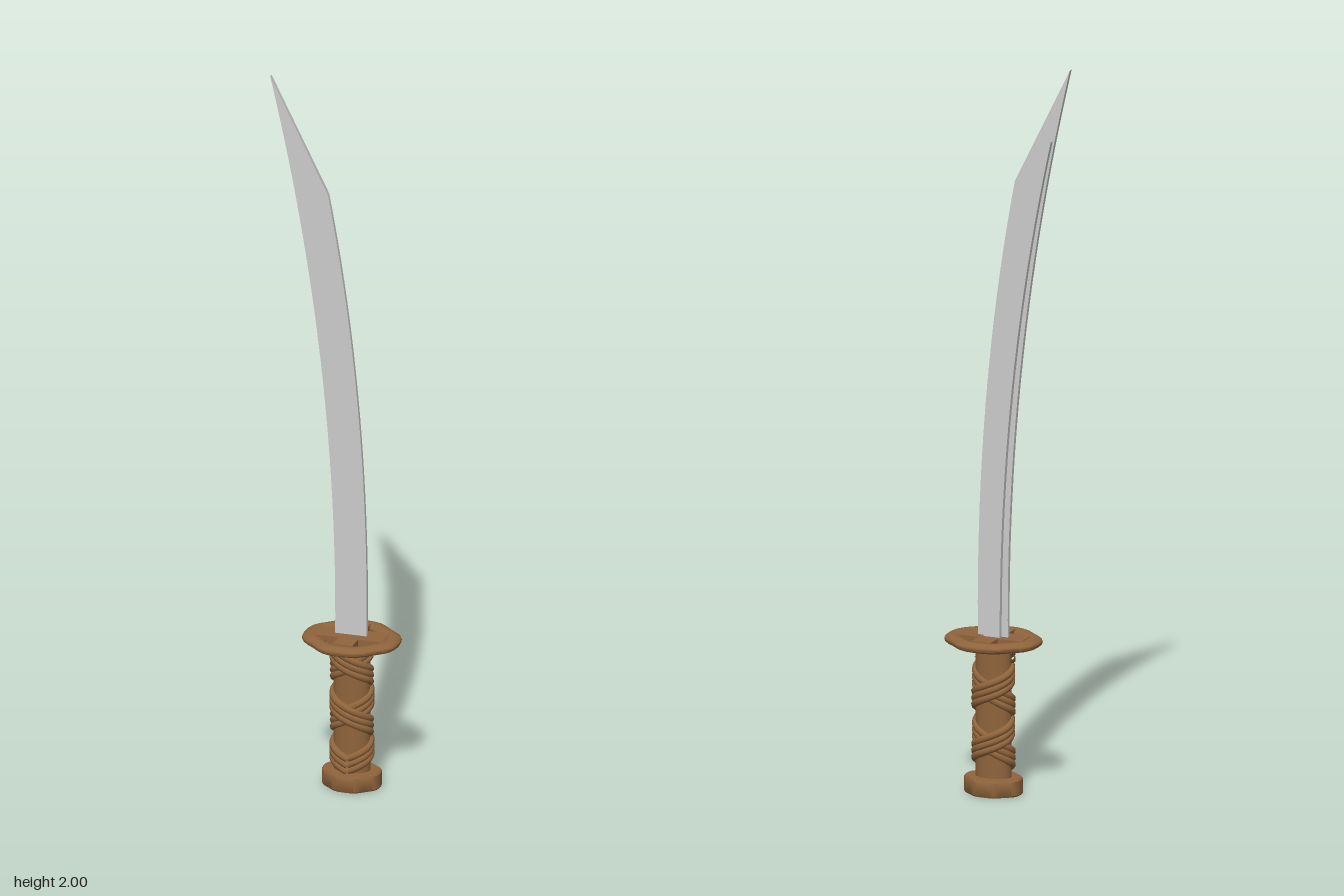
import * as THREE from 'three';
import { toCreasedNormals } from 'three/addons/utils/BufferGeometryUtils.js';

const CX = 0.045; // axis of the grip
const steel = new THREE.MeshStandardMaterial({ color: 0xcccccc });
const wood = new THREE.MeshStandardMaterial({ color: 0x8f643c });

function add(group, name, geometry, material) {
  const mesh = new THREE.Mesh(geometry, material);
  mesh.name = name;
  group.add(mesh);
  return mesh;
}

// Turned profile (radius as a fraction of rx, rz) with a softly eight-sided outline
function turned(profile, rx, rz, crease) {
  const geo = new THREE.LatheGeometry(profile.map(([r, y]) => new THREE.Vector2(r, y)), 64);
  const pos = geo.attributes.position;
  for (let i = 0; i < pos.count; i++) {
    const x = pos.getX(i), z = pos.getZ(i), a = Math.atan2(z, x);
    const k = 0.985 + 0.03 * Math.cos(4 * a) - 0.015 * Math.cos(8 * a);
    pos.setXYZ(i, CX + x * k * rx, pos.getY(i), z * k * rz);
  }
  return toCreasedNormals(geo, crease);
}

// Curved slab: two sweeping edges [start, control, end] joined by a slanted tip
function slab(left, right, z0, z1) {
  const s = new THREE.Shape();
  s.moveTo(...left[0]);
  s.lineTo(...right[0]);
  s.quadraticCurveTo(...right[1], ...right[2]);
  s.lineTo(...left[2]);
  s.quadraticCurveTo(...left[1], ...left[0]);
  const geo = new THREE.ExtrudeGeometry(s, { depth: z1 - z0, bevelEnabled: false, curveSegments: 24 });
  geo.translate(0, 0, z0);
  return toCreasedNormals(geo, 0.5);
}

// One cord wound around the oval grip, direction +1 or -1
function cord(direction, offset) {
  const points = [], turns = 2.25, pitch = 0.144;
  for (let i = 0; i <= 90; i++) {
    const t = (i / 90) * turns, a = direction * t * Math.PI * 2 + Math.PI / 2;
    // the two directions weave over and under each other at the crossings
    const lift = 0.003 * direction * Math.cos(t * Math.PI * 2);
    points.push(new THREE.Vector3(
      CX + (0.05 + lift) * Math.cos(a),
      0.063 + t * pitch + offset,
      (0.035 + lift) * Math.sin(a)));
  }
  return new THREE.TubeGeometry(new THREE.CatmullRomCurve3(points), 180, 0.0105, 8, false);
}

export function createModel() {
  const model = new THREE.Group();

  // Blade: front plate and the narrower raised panel on its back
  const blade = new THREE.Group();
  blade.name = 'blade';
  model.add(blade);
  add(blade, 'bladePlate', slab(
    [[0, 0.41], [0.01, 1.2], [-0.18, 2]],
    [[0.087, 0.41], [0.096, 1.08], [-0.02, 1.68]], -0.007, 0.005), steel);
  add(blade, 'bladeBackPanel', slab(
    [[0.018, 0.41], [0.022, 1.12], [-0.13, 1.8]],
    [[0.065, 0.41], [0.075, 1.06], [-0.04, 1.66]], -0.02, -0.007), steel);

  // Guard: rounded open ring with a flat cross over its opening
  const guard = new THREE.Group();
  guard.name = 'guard';
  model.add(guard);
  const ring = [];
  for (let i = 0; i <= 16; i++) {
    const a = (i / 16) * Math.PI * 2;
    ring.push([0.81 + 0.19 * Math.cos(a), 0.417 + 0.0135 * Math.sin(a)]);
  }
  add(guard, 'guardRing', turned(ring, 0.1325, 0.116, 1), wood);
  for (const [name, w, d] of [['guardBarWide', 0.19, 0.066], ['guardBarDeep', 0.054, 0.16]]) {
    add(guard, name, new THREE.BoxGeometry(w, 0.02, d), wood).position.set(CX, 0.42, 0);
  }

  // Grip: oval core with bands of three cords crossing in both directions
  const grip = new THREE.Group();
  grip.name = 'grip';
  model.add(grip);
  const core = add(grip, 'gripCore', new THREE.CylinderGeometry(1, 1, 0.38, 32), wood);
  core.scale.set(0.05, 1, 0.035);
  core.position.set(CX, 0.225, 0);
  for (const direction of [1, -1]) {
    for (const offset of [-0.018, 0, 0.018]) {
      add(grip, 'gripCord', cord(direction, offset + 0.006), wood);
    }
  }

  // Pommel: short oval cap under the grip
  add(model, 'pommel', turned(
    [[0, 0], [0.96, 0], [1, 0.004], [1, 0.042], [0.96, 0.046], [0, 0.046]],
    0.08, 0.065, 0.6), wood);

  return model;
}
